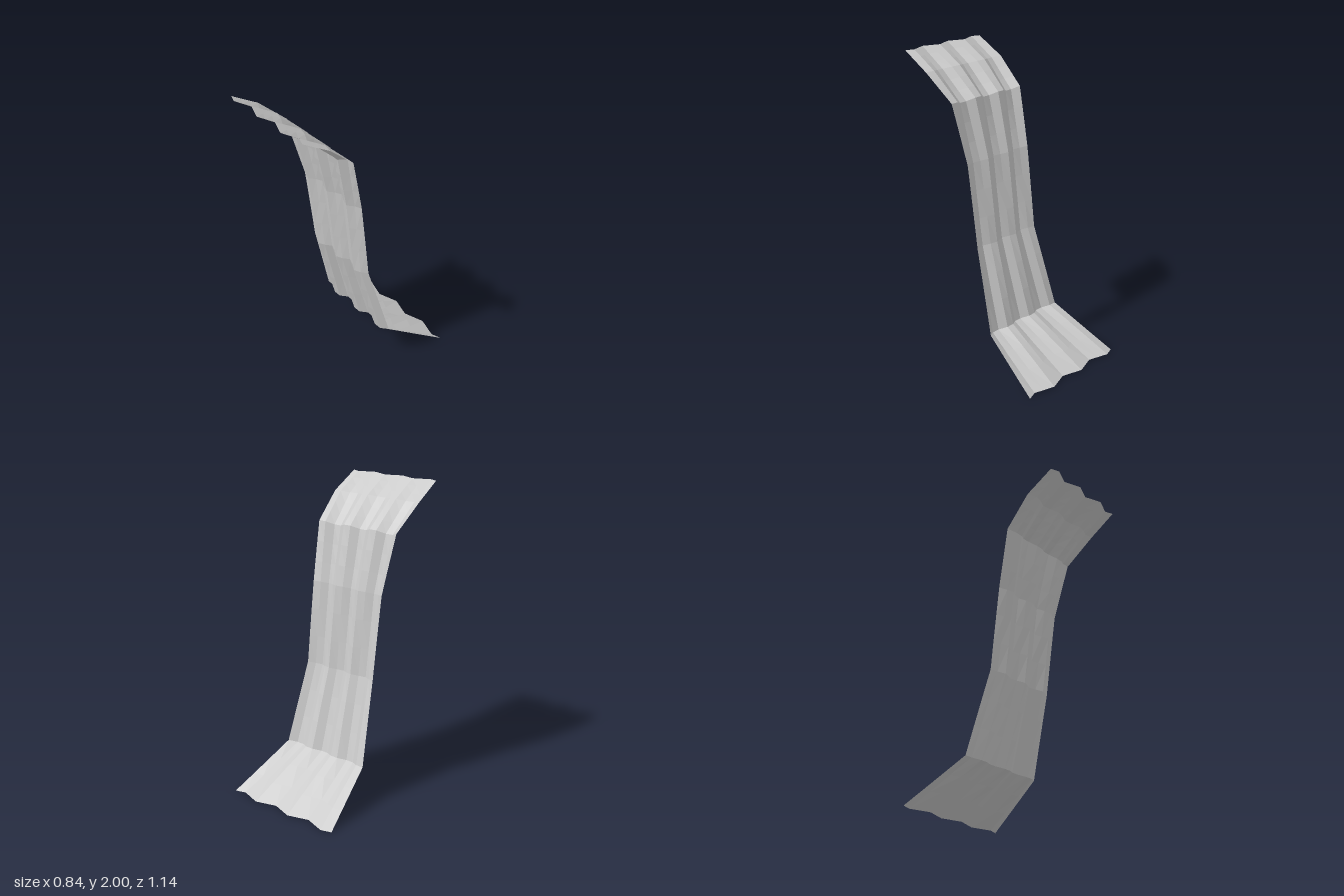
import * as THREE from 'three';

// Spine of the sheet, top to bottom: y, z, half width, pleat phase (degrees), y lean of the pleat
const ROWS = [
  [2.0, 0.548, 0.338, 180, 0],
  [1.885, 0.372, 0.344, 158, -0.3],
  [1.708, 0.19, 0.318, 135, -0.6],
  [1.33, 0.1, 0.285, 105, -0.25],
  [0.785, 0.03, 0.278, 75, -0.25],
  [0.25, -0.126, 0.325, 45, -0.3],
  [0.0, -0.553, 0.422, 0, 0],
];
const COLUMNS = 12;
const STEPS = 3; // strips between two spine rows
const PLEATS = 3;
const DEPTH = 0.022;

function spineAt(t) {
  const i = Math.min(Math.floor(t), ROWS.length - 2);
  return ROWS[i].map((v, k) => THREE.MathUtils.lerp(v, ROWS[i + 1][k], t - i));
}

export function createModel() {
  const group = new THREE.Group();
  group.name = 'pleatedDrape';

  const cloth = new THREE.MeshStandardMaterial({ color: 0xcccccc, flatShading: true, side: THREE.DoubleSide });
  cloth.name = 'light grey cloth';

  // Bent sheet whose pleats drift sideways along its length
  const strips = (ROWS.length - 1) * STEPS;
  const geometry = new THREE.PlaneGeometry(1, 1, COLUMNS, strips);
  const pos = geometry.attributes.position;
  for (let r = 0; r <= strips; r++) {
    const [y, z, half, phase, lean] = spineAt(r / STEPS);
    for (let c = 0; c <= COLUMNS; c++) {
      const u = c / COLUMNS;
      const fold = -DEPTH * Math.sin(u * PLEATS * Math.PI * 2 + THREE.MathUtils.degToRad(phase));
      pos.setXYZ(r * (COLUMNS + 1) + c, (2 * u - 1) * half, y + fold * lean, z + fold);
    }
  }
  geometry.computeVertexNormals();

  const sheet = new THREE.Mesh(geometry, cloth);
  sheet.name = 'clothSheet';
  group.add(sheet);
  return group;
}
